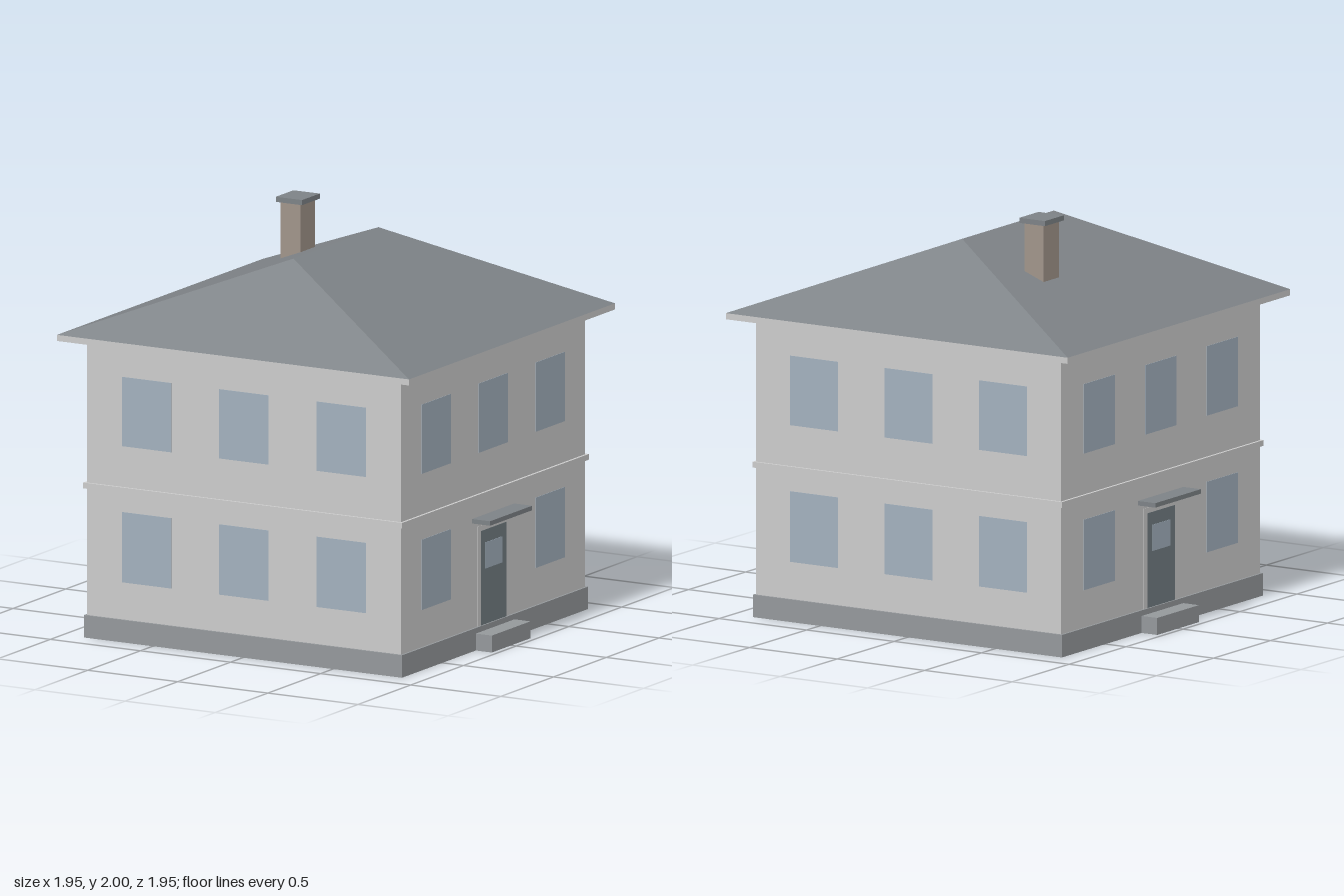
import * as THREE from 'three';

const mat = (color, side = THREE.FrontSide) => new THREE.MeshStandardMaterial({ color, side, flatShading: true });
const wallMat = mat(0xcccccc);
const stoneMat = mat(0x94989b, THREE.DoubleSide);
const slateMat = mat(0x7d8286);
const glassMat = mat(0xa2b0bd);
const doorMat = mat(0x727d82);
const brickMat = mat(0xa0948a);

// Box given by its width, depth, and bottom and top heights
function box(name, material, w, d, y0, y1, x = 0, z = 0) {
  const mesh = new THREE.Mesh(new THREE.BoxGeometry(w, y1 - y0, d), material);
  mesh.name = name;
  mesh.position.set(x, (y0 + y1) / 2, z);
  return mesh;
}

// Box shell with no underside
function openBox(...args) {
  const mesh = box(...args);
  const index = Array.from(mesh.geometry.index.array);
  index.splice(18, 6);
  mesh.geometry.setIndex(index);
  return mesh;
}

// Thin panel on a facade, facing +z
const panel = (name, material, w, y0, y1, z, x = 0) => box(name, material, w, 0.01, y0, y1, x, z - 0.005);

// Hipped roof: four eave corners and two ridge ends
function hipRoof(half, y0, ridgeHalf, y1) {
  const a = [-half, y0, half], b = [half, y0, half], c = [half, y0, -half], d = [-half, y0, -half];
  const f = [0, y1, ridgeHalf], r = [0, y1, -ridgeHalf];
  const faces = [a, b, f, c, d, r, b, c, r, b, r, f, d, a, f, d, f, r];
  const geometry = new THREE.BufferGeometry();
  geometry.setAttribute('position', new THREE.Float32BufferAttribute(faces.flat(), 3));
  geometry.computeVertexNormals();
  const mesh = new THREE.Mesh(geometry, slateMat);
  mesh.name = 'roof';
  return mesh;
}

const WALL = 0.872;

// One facade facing +z, with three windows above and a door or window in the middle below
function facade(name, hasDoor) {
  const side = new THREE.Group();
  side.name = name;
  for (const x of [-0.54, 0, 0.54]) {
    side.add(panel('upperWindow', glassMat, 0.274, 0.96, 1.3, WALL + 0.002, x));
    if (x !== 0 || !hasDoor) side.add(panel('lowerWindow', glassMat, 0.274, 0.292, 0.637, WALL + 0.002, x));
  }
  if (hasDoor) {
    side.add(
      panel('doorFrame', wallMat, 0.296, 0.08, 0.6, WALL + 0.002),
      panel('door', doorMat, 0.24, 0.08, 0.573, WALL + 0.004),
      panel('doorWindow', glassMat, 0.155, 0.382, 0.51, WALL + 0.006),
      box('canopy', slateMat, 0.4, 0.1, 0.625, 0.647, 0, 0.922),
      openBox('doorStep', stoneMat, 0.366, 0.1, 0, 0.083, 0, 0.922),
    );
  }
  return side;
}

export function createModel() {
  const house = new THREE.Group();
  house.name = 'house';

  // Body
  house.add(
    openBox('plinth', stoneMat, 1.766, 1.766, 0, 0.11),
    box('walls', wallMat, WALL * 2, WALL * 2, 0.109, 1.465),
    box('stringCourse', wallMat, 1.77, 1.77, 0.732, 0.76),
  );

  // Four sides, with doors on the left and right
  ['front', 'left', 'back', 'right'].forEach((name, i) => {
    const side = facade(name + 'Facade', i % 2 === 1);
    side.rotation.y = i * Math.PI / 2;
    house.add(side);
  });

  // Roof and chimney
  house.add(
    box('eaves', wallMat, 1.954, 1.954, 1.462, 1.492),
    hipRoof(0.977, 1.492, 0.403, 1.866),
    box('chimney', brickMat, 0.11, 0.136, 1.6, 1.975, -0.386, -0.297),
    box('chimneyCap', slateMat, 0.146, 0.168, 1.975, 2, -0.386, -0.297),
  );
  return house;
}
